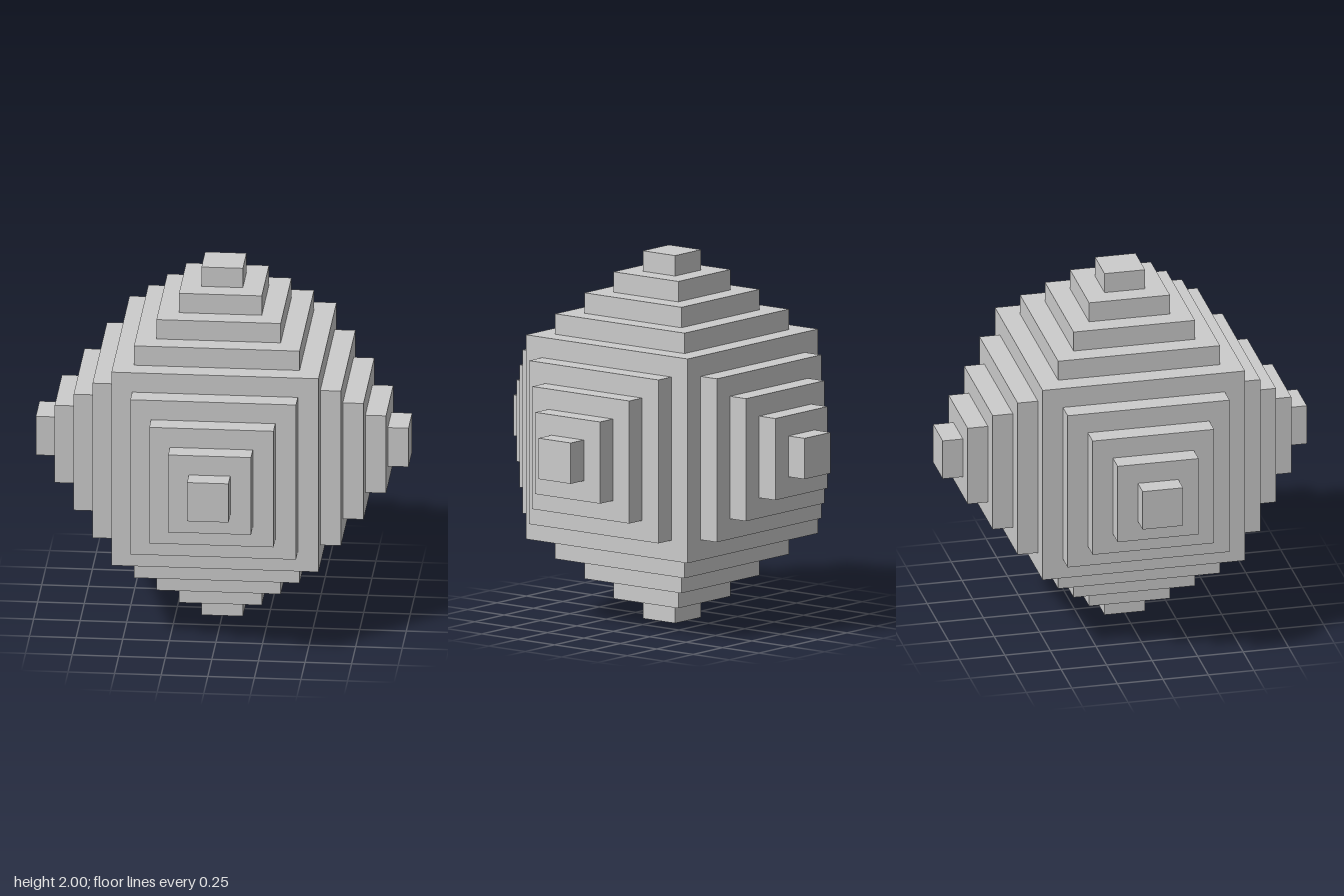
import * as THREE from 'three';

const STEP = 1 / 9; // thickness of every step, and how far each one is inset
const LEVELS = 4; // steps on each face of the core

const material = new THREE.MeshStandardMaterial({ color: 0xcccccc, flatShading: true });

function box(name, width, height) {
  const mesh = new THREE.Mesh(new THREE.BoxGeometry(width, height, width), material);
  mesh.name = name;
  return mesh;
}

// Stepped pyramid rising along +y from the face of the core
function steppedPyramid(name) {
  const pyramid = new THREE.Group();
  pyramid.name = name;
  for (let i = 1; i <= LEVELS; i++) {
    const step = box(`step${i}`, 2 * STEP * (LEVELS + 1 - i), STEP);
    step.position.y = STEP * (LEVELS + i + 0.5);
    pyramid.add(step);
  }
  return pyramid;
}

export function createModel() {
  const model = new THREE.Group();
  model.name = 'steppedCube';

  // Central cube
  const side = 2 * STEP * (LEVELS + 1);
  const core = box('core', side, side);
  core.position.y = 1;
  model.add(core);

  // One pyramid on each of the six faces
  const q = Math.PI / 2;
  const faces = [
    ['topPyramid', 0, 0],
    ['bottomPyramid', Math.PI, 0],
    ['frontPyramid', q, 0],
    ['backPyramid', -q, 0],
    ['leftPyramid', 0, -q],
    ['rightPyramid', 0, q],
  ];
  for (const [name, rx, rz] of faces) {
    const pyramid = steppedPyramid(name);
    pyramid.rotation.set(rx, 0, rz);
    pyramid.position.y = 1;
    model.add(pyramid);
  }
  return model;
}
